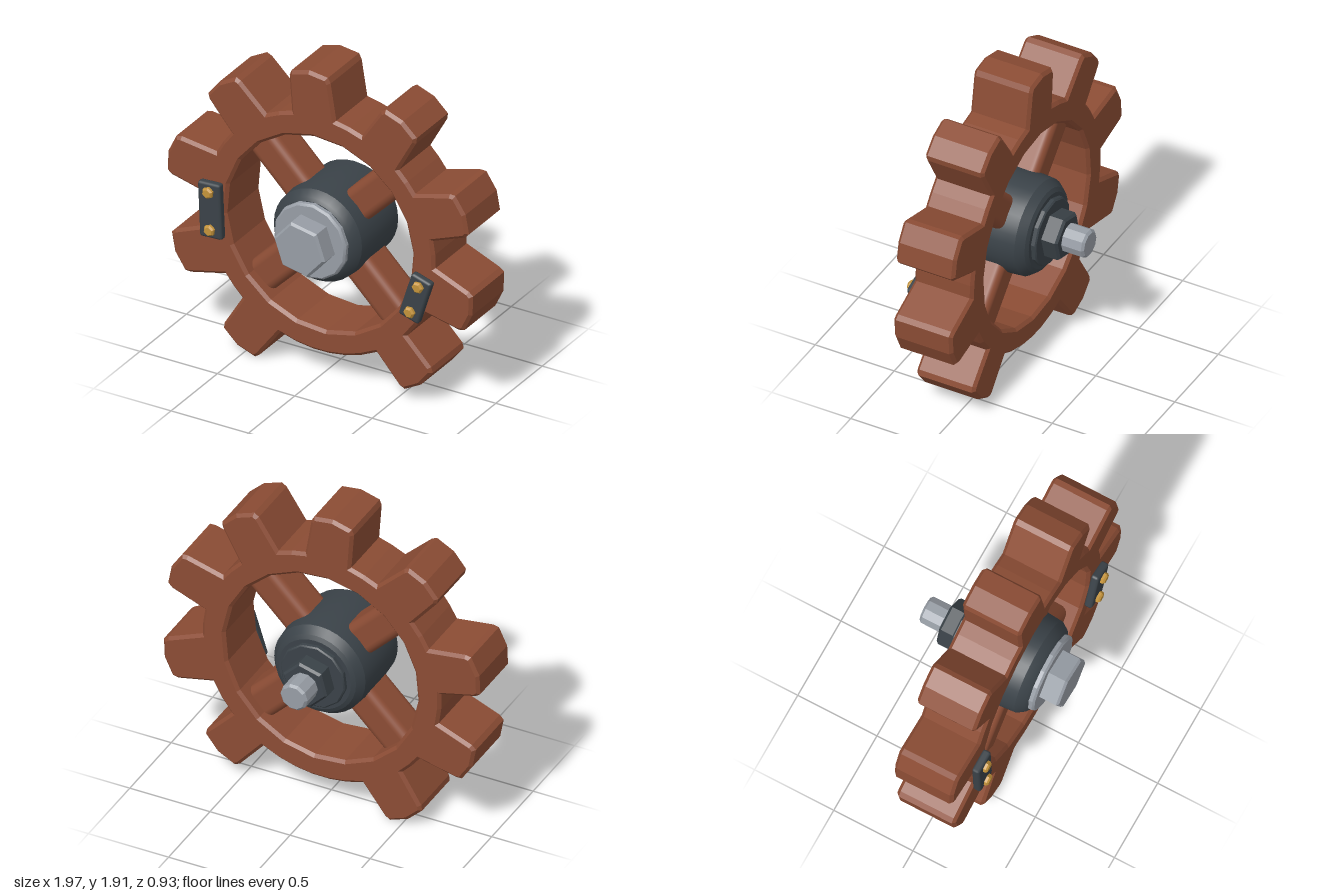
import * as THREE from 'three';
import { toCreasedNormals } from 'three/addons/utils/BufferGeometryUtils.js';
import { RoundedBoxGeometry } from 'three/addons/geometries/RoundedBoxGeometry.js';

const material = (name, color) => {
  const m = new THREE.MeshStandardMaterial({ color });
  m.name = name;
  return m;
};

const rad = THREE.MathUtils.degToRad;
const polar = (r, deg) => new THREE.Vector2(r * Math.cos(rad(deg)), r * Math.sin(rad(deg)));

// Profile of [radius, z] pairs turned about the z axis; few sides give hexes and faceted washers
function turned(profile, sides, firstCorner = 0, crease = 25) {
  const points = profile.map(([r, z]) => new THREE.Vector2(r, z));
  const geo = new THREE.LatheGeometry(points, sides, rad(firstCorner + 90));
  geo.rotateX(Math.PI / 2);
  return toCreasedNormals(geo, rad(crease));
}

// Closed disc or prism with a chamfered front (or back) edge
function prism(r, back, front, sides, corner, chamfer = 0.012, chamferBack = false) {
  const profile = chamferBack
    ? [[0, back], [r - chamfer, back], [r, back + chamfer], [r, front], [0, front]]
    : [[0, back], [r, back], [r, front - chamfer], [r - chamfer, front], [0, front]];
  return turned(profile, sides, corner);
}

// Toothed rim with one tooth missing at the bottom
function rimGeometry() {
  // tooth angle, and where its flanks meet the root on either side
  const teeth = [
    [-50, -10.6, 9], [-14, -10.7, 13], [22, -10, 12.4],
    [58, -11.2, 10.7], [94, -11.9, 10.2], [130, -12.3, 10.3],
    [166, -12.2, 10.3], [202, -10.2, 13], [238, -10.4, 11.8],
  ];
  const root = 0.745;
  const outline = [];
  teeth.forEach(([a, lo, hi], i) => {
    outline.push(
      polar(root, a + lo), polar(0.965, a - 7.9), polar(0.995, a - 6.8), polar(1.012, a),
      polar(0.995, a + 6.8), polar(0.965, a + 7.9), polar(root, a + hi));
    // root arc to the next tooth
    const next = teeth[(i + 1) % teeth.length];
    const start = a + hi;
    const end = next[0] + next[1] + (i === teeth.length - 1 ? 360 : 0);
    const steps = Math.max(1, Math.round((end - start) / 8));
    for (let s = 1; s < steps; s++) outline.push(polar(root, start + (end - start) * s / steps));
  });
  const shape = new THREE.Shape(outline);
  const hole = [];
  for (let i = 0; i < 20; i++) hole.push(polar(0.603, -i * 18 + 4));
  shape.holes.push(new THREE.Path(hole));
  const bevel = 0.018;
  const geo = new THREE.ExtrudeGeometry(shape, {
    depth: 0.37 - 2 * bevel, steps: 1, bevelEnabled: true, bevelSegments: 1,
    bevelSize: bevel, bevelThickness: bevel, bevelOffset: -bevel,
  });
  geo.translate(0, 0, -0.13 + bevel);
  return geo;
}

export function createModel() {
  const rust = material('rust', 0x8b4c34);
  const iron = material('dark iron', 0x3a4248);
  const steel = material('steel', 0x979da5);
  const brass = material('brass', 0xc4933a);

  const model = new THREE.Group();
  model.name = 'brokenGear';
  const gear = new THREE.Group();
  gear.name = 'gear';
  gear.position.y = 0.918;
  model.add(gear);

  const add = (parent, name, geo, mat) => {
    const mesh = new THREE.Mesh(geo, mat);
    mesh.name = name;
    parent.add(mesh);
    return mesh;
  };

  add(gear, 'toothedRim', rimGeometry(), rust);

  // Four diagonal spokes
  const spokeGeo = new RoundedBoxGeometry(0.46, 0.205, 0.23, 3, 0.05);
  for (let i = 0; i < 4; i++) {
    const a = 45 + i * 90;
    const spoke = add(gear, 'spoke', spokeGeo, rust);
    const p = polar(0.43, a);
    spoke.position.set(p.x, p.y, 0.055);
    spoke.rotation.z = rad(a);
  }

  // Barrel hub
  add(gear, 'hub', turned([
    [0, -0.2], [0.225, -0.2], [0.25, -0.187], [0.285, -0.14], [0.292, -0.05],
    [0.294, 0.055], [0.292, 0.16], [0.285, 0.25], [0.255, 0.295], [0.235, 0.308], [0, 0.308],
  ], 32), iron);

  // Front bolt
  add(gear, 'frontWasher', prism(0.235, 0.3, 0.342, 14, 8), steel);
  add(gear, 'boltHead', prism(0.168, 0.335, 0.46, 6, 49, 0.014), steel);

  // Back nut and shaft end
  add(gear, 'backWasher', prism(0.203, -0.23, -0.19, 12, 8, 0.008, true), iron);
  add(gear, 'nut', prism(0.142, -0.328, -0.22, 6, 75, 0.014, true), iron);
  add(gear, 'shaftEnd', prism(0.085, -0.465, -0.32, 10, 0, 0.014, true), steel);

  // Repair plates, each held by two small hex bolts
  const rivetGeo = prism(0.035, 0.02, 0.05, 6, 20, 0.01);
  const addPlate = (name, x, y, angle, width, length, spacing) => {
    const plate = new THREE.Group();
    plate.name = name;
    plate.position.set(x, y - gear.position.y, 0.262);
    plate.rotation.z = rad(angle);
    gear.add(plate);
    add(plate, 'plate', new RoundedBoxGeometry(width, length, 0.05, 1, 0.015), iron);
    for (const s of [-1, 1]) {
      add(plate, 'plateBolt', rivetGeo, brass).position.y = s * spacing / 2;
    }
  };
  addPlate('rightRepairPlate', -0.68, 0.895, 2.5, 0.145, 0.345, 0.235);
  addPlate('leftRepairPlate', 0.645, 0.71, -17.5, 0.135, 0.29, 0.18);

  return model;
}
